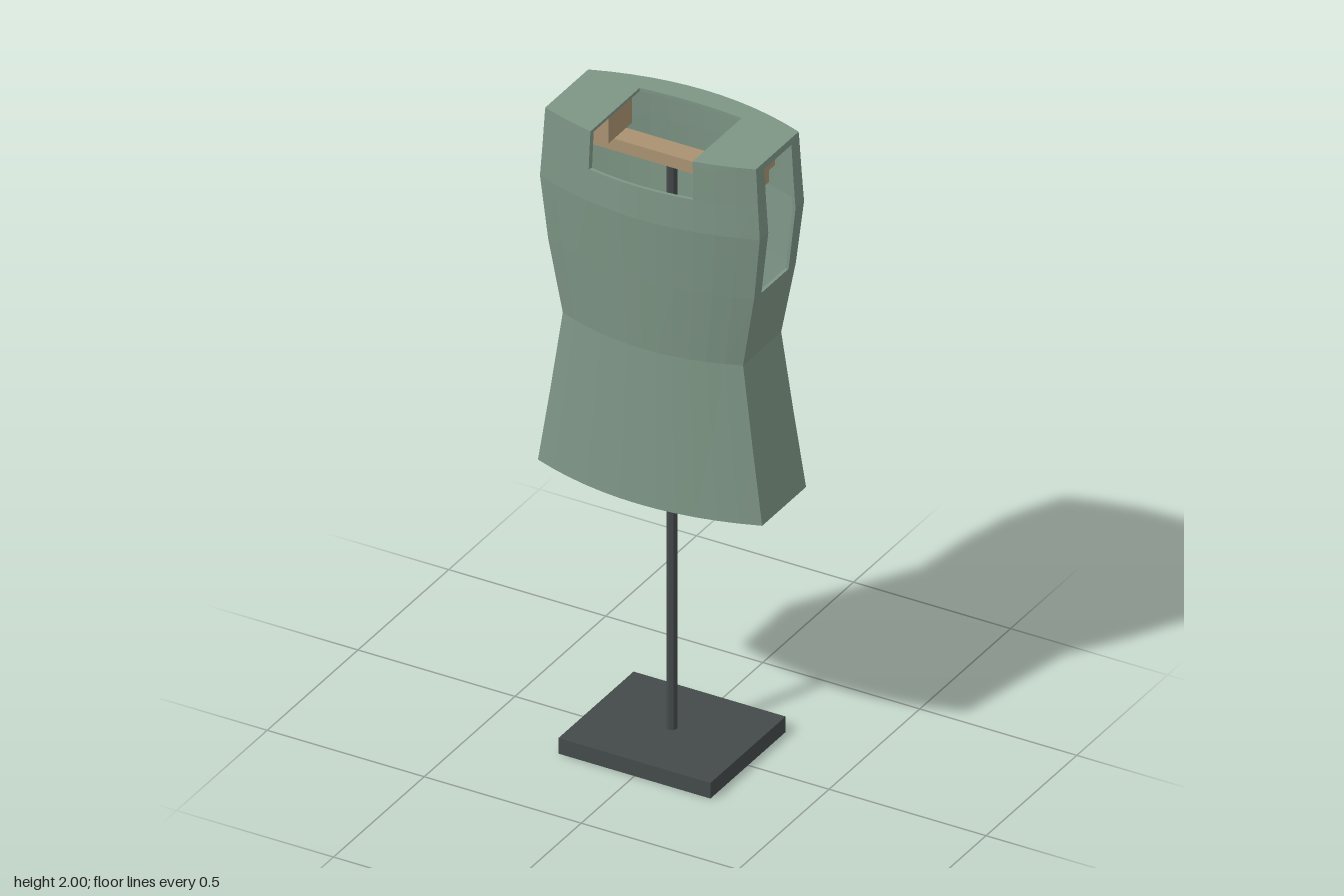
import * as THREE from 'three';

const T = 0.01; // cloth thickness

// torso sections: height, half width, half depth at the corner, half depth at the middle
const LEVELS = [
  [0.865, 0.357, 0.121, 0.19],
  [1.1, 0.322, 0.113, 0.178],
  [1.35, 0.287, 0.105, 0.165],
  [1.58, 0.328, 0.115, 0.18],
  [1.78, 0.35, 0.122, 0.192],
  [1.88, 0.343, 0.12, 0.187],
  [1.98, 0.337, 0.118, 0.184],
  [2.0, 0.335, 0.118, 0.183],
];
const NECK = 0.485; // neck half width as a share of the half width
const COLS = [-1, -0.83, -0.66, -NECK, -0.32, -0.16, 0, 0.16, 0.32, NECK, 0.66, 0.83, 1];

const material = (color) => new THREE.MeshStandardMaterial({ color, flatShading: true });
const cloth = material(0x7d9585);
const wood = material(0xaa9272);
const metal = material(0x444a4a);

// Thick panel on a grid: point(i, j, inner) gives corners, keep(i, j) tells which cells exist.
// Open edges inside the grid, and the first row if closeStart, get a rim.
function panel(name, rows, cols, point, keep, closeStart) {
  const pos = [];
  const quad = (a, b, c, d) => [a, b, c, a, c, d].forEach((p) => pos.push(...p));
  const inside = (i, j) => i >= 0 && j >= 0 && i < rows && j < cols;
  for (let i = 0; i < rows; i++) {
    for (let j = 0; j < cols; j++) {
      if (!keep(i, j)) continue;
      const corners = [[i, j], [i, j + 1], [i + 1, j + 1], [i + 1, j]];
      const o = corners.map(([a, b]) => point(a, b, 0));
      const n = corners.map(([a, b]) => point(a, b, 1));
      quad(...o);
      quad(n[3], n[2], n[1], n[0]);
      [[i - 1, j], [i, j + 1], [i + 1, j], [i, j - 1]].forEach(([a, b], k) => {
        const open = inside(a, b) ? !keep(a, b) : closeStart && a < 0;
        const m = (k + 1) % 4;
        if (open) quad(o[m], o[k], n[k], n[m]);
      });
    }
  }
  const geometry = new THREE.BufferGeometry();
  geometry.setAttribute('position', new THREE.Float32BufferAttribute(pos, 3));
  geometry.computeVertexNormals();
  const mesh = new THREE.Mesh(geometry, cloth);
  mesh.name = name;
  return mesh;
}

// Bowed front or back point at level i and column j
function bowed(i, j, inner) {
  const [y, w, c, d] = LEVELS[i].map((v, k) => (k ? v - inner * T : v));
  const s = COLS[j];
  return [w * s, y, d - (d - c) * s * s];
}

// Flat side point (+x side), with columns at the armhole edges
function flank(i, j, inner) {
  const [y, w, c] = LEVELS[i].map((v, k) => (k ? v - inner * T : v));
  return [w, y, [c, 0.075, -0.075, -c][j]];
}

// Shoulder yoke point, running from the front edge to the back edge
const YOKE = [1, 0.195, 0];
function yoke(i, j, inner) {
  const [x, y, z] = bowed(LEVELS.length - 1, j, 0);
  return [x, y - inner * T, z * (2 * YOKE[i] - 1)];
}

function box(name, mat, w, h, d, x, y, z) {
  const mesh = new THREE.Mesh(new THREE.BoxGeometry(w, h, d), mat);
  mesh.position.set(x, y, z);
  mesh.name = name;
  return mesh;
}

export function createModel() {
  const model = new THREE.Group();
  model.name = 'garmentOnStand';

  // sleeveless garment
  const garment = new THREE.Group();
  garment.name = 'garment';
  const rows = LEVELS.length - 1;
  const cols = COLS.length - 1;
  const inNeck = (j) => j >= 3 && j < cols - 3;
  const all = () => true;
  const front = panel('frontPanel', rows, cols, bowed, (i, j) => i < 5 || !inNeck(j), true);
  const back = panel('backPanel', rows, cols, bowed, all, true);
  back.rotation.y = Math.PI;
  const armhole = (i, j) => !(j === 1 && i >= 3 && i <= 5);
  const left = panel('leftSide', rows, 3, flank, armhole, true);
  const right = panel('rightSide', rows, 3, flank, armhole, true);
  right.rotation.y = Math.PI;
  const top = panel('shoulderYoke', 2, cols, yoke, (i, j) => i === 1 || !inNeck(j), false);
  garment.add(front, back, left, right, top);
  model.add(garment);

  // hanger: cross bar with a wider block under each shoulder
  const hanger = new THREE.Group();
  hanger.name = 'hanger';
  hanger.add(box('hangerBar', wood, 0.58, 0.038, 0.068, 0, 1.888, 0));
  for (const s of [1, -1]) {
    hanger.add(box('shoulderBlock', wood, 0.125, 0.083, 0.13, s * 0.2275, 1.9485, 0));
  }
  model.add(hanger);

  // stand
  const pole = new THREE.Mesh(new THREE.CylinderGeometry(0.016, 0.016, 1.83, 8), metal);
  pole.position.y = 0.96;
  pole.name = 'pole';
  model.add(pole, box('base', metal, 0.484, 0.05, 0.414, 0, 0.025, 0));

  return model;
}
